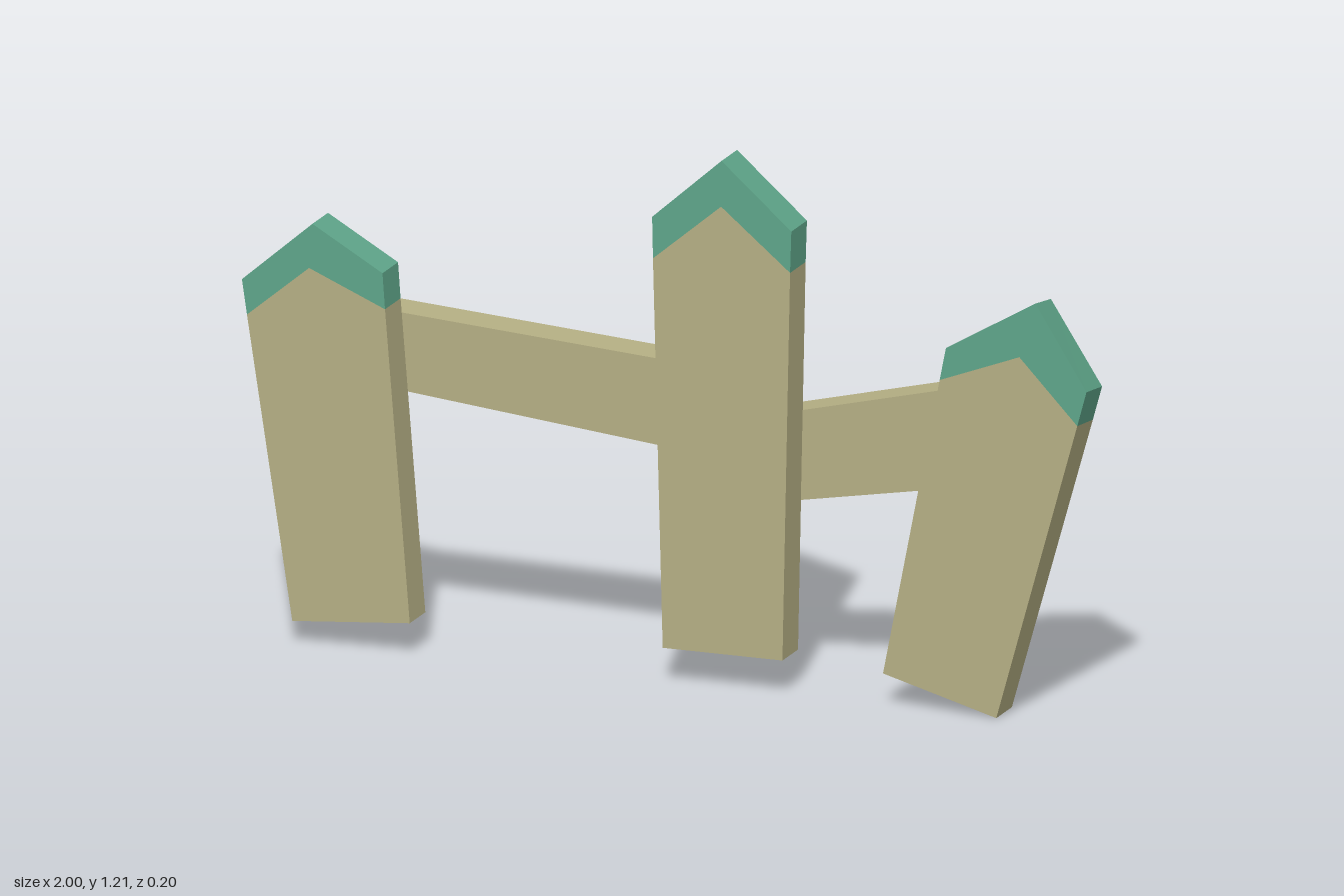
import * as THREE from 'three';

const wood = new THREE.MeshStandardMaterial({ color: 0xb5af84, side: THREE.DoubleSide });
wood.name = 'weathered wood';
const paint = new THREE.MeshStandardMaterial({ color: 0x5fa68a, side: THREE.DoubleSide });
paint.name = 'green paint';

// Plank piece: convex front panels (counter-clockwise) repeated at the back,
// joined by walls along the given outline edges.
function plank(name, material, panels, walls, { zBack, depth, skew = 0, drop = 0 }) {
  const pos = [];
  const front = ([x, y]) => [x, y, zBack + skew * x + depth];
  const back = ([x, y]) => [x, y + drop * y, zBack + skew * x];
  const fan = (pts) => {
    for (let i = 1; i < pts.length - 1; i++) pos.push(...pts[0], ...pts[i], ...pts[i + 1]);
  };
  for (const p of panels) {
    fan(p.map(front));
    fan(p.map(back).reverse());
  }
  for (const [a, b] of walls) fan([front(a), back(a), back(b), front(b)]);
  const g = new THREE.BufferGeometry();
  g.setAttribute('position', new THREE.Float32BufferAttribute(pos, 3));
  g.computeVertexNormals();
  const mesh = new THREE.Mesh(g, material);
  mesh.name = name;
  return mesh;
}

// Pointed picket, open underneath, with a painted tip above a chevron line.
function picket(name, { base, line, tip, ...place }) {
  const [b0, b1] = base;
  const [pl, pm, pr] = line;
  const [sl, peak, sr] = tip;
  const group = new THREE.Group();
  group.name = name;
  group.add(
    plank('picketBody', wood, [[pm, pl, b0, b1, pr]], [[b1, pr], [pl, b0]], place),
    plank('picketTip', paint, [[pl, pm, peak, sl], [pm, pr, sr, peak]],
      [[pr, sr], [sr, peak], [peak, sl], [sl, pl]], place),
  );
  return group;
}

// Closed crooked rail from four corners, counter-clockwise.
function rail(name, c, place) {
  return plank(name, wood, [c], c.map((p, i) => [p, c[(i + 1) % 4]]), place);
}

export function createModel() {
  const model = new THREE.Group();
  model.name = 'crookedFence';

  // Three leaning pickets
  model.add(
    picket('rightPicket', {
      base: [[-0.88, 0.055], [-0.6, 0.08]],
      line: [[-0.988, 0.745], [-0.84, 0.868], [-0.659, 0.793]],
      tip: [[-1, 0.825], [-0.832, 0.97], [-0.665, 0.875]],
      zBack: 0.013, depth: 0.095, skew: 0.022,
    }),
    picket('middlePicket', {
      base: [[-0.003, 0.085], [0.28, 0.085]],
      line: [[-0.026, 0.975], [0.135, 1.11], [0.298, 0.975]],
      tip: [[-0.028, 1.07], [0.136, 1.215], [0.301, 1.07]],
      zBack: -0.002, depth: 0.095,
    }),
    picket('leftPicket', {
      base: [[0.515, 0.078], [0.785, 0.005]],
      line: [[0.65, 0.765], [0.84, 0.838], [0.978, 0.695]],
      tip: [[0.665, 0.84], [0.878, 0.965], [1, 0.775]],
      zBack: -0.02, depth: 0.095, skew: 0.022, drop: -0.015,
    }),
  );

  // Two rails behind the pickets
  model.add(
    rail('rightRail', [[-0.755, 0.592], [0.015, 0.512], [0.03, 0.711], [-0.742, 0.766]],
      { zBack: -0.1, depth: 0.096 }),
    rail('leftRail', [[0.16, 0.406], [0.785, 0.517], [0.735, 0.742], [0.125, 0.595]],
      { zBack: -0.092, depth: 0.092, skew: -0.005 }),
  );
  return model;
}
